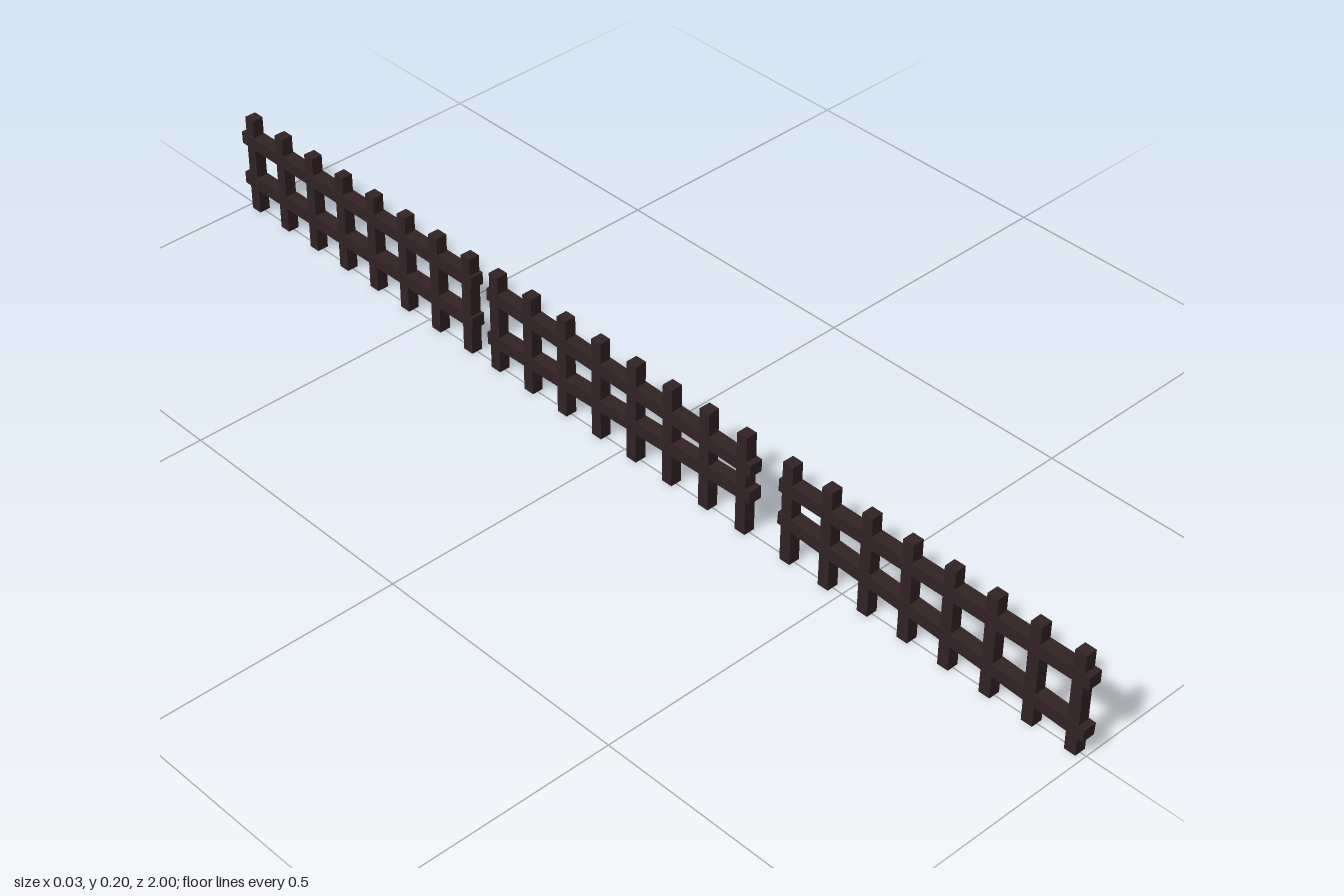
import * as THREE from 'three';

const POST = 0.022, HEIGHT = 0.197, PITCH = 0.0848, POSTS = 8;
const RAIL_W = 0.026, RAIL_H = 0.024;

// Each section: front and back z ends, first post, and rail heights at both ends
const SECTIONS = [
  { z: [1, 0.367], first: 0.977, upper: [0.152, 0.149], lower: [0.048, 0.083] },
  { z: [0.304, -0.328], first: 0.282, upper: [0.137, 0.152], lower: [0.083, 0.06] },
  { z: [-0.367, -1], first: -0.384, upper: [0.152, 0.149], lower: [0.067, 0.063] },
];

export function createModel() {
  const wood = new THREE.MeshStandardMaterial({ color: 0x32221f });
  wood.name = 'darkWood';
  wood.color.set(0x322224);

  const model = new THREE.Group();
  model.name = 'picketFence';
  const postGeometry = new THREE.BoxGeometry(POST, HEIGHT, POST);

  // Rail: a box laid between two heights, tilted along the section
  function addRail(parent, name, [z0, z1], [y0, y1]) {
    const slope = Math.atan2(y1 - y0, z0 - z1);
    const length = (z0 - z1) / Math.cos(slope);
    const rail = new THREE.Mesh(new THREE.BoxGeometry(RAIL_W, RAIL_H, length), wood);
    rail.name = name;
    rail.position.set(0, (y0 + y1) / 2, (z0 + z1) / 2);
    rail.rotation.x = slope;
    parent.add(rail);
  }

  SECTIONS.forEach((s, i) => {
    const section = new THREE.Group();
    section.name = `fenceSection${i + 1}`;
    // Evenly spaced square posts
    for (let p = 0; p < POSTS; p++) {
      const post = new THREE.Mesh(postGeometry, wood);
      post.name = `post${p + 1}`;
      post.position.set(0, HEIGHT / 2, s.first - p * PITCH);
      section.add(post);
    }
    addRail(section, 'upperRail', s.z, s.upper);
    addRail(section, 'lowerRail', s.z, s.lower);
    model.add(section);
  });
  return model;
}
